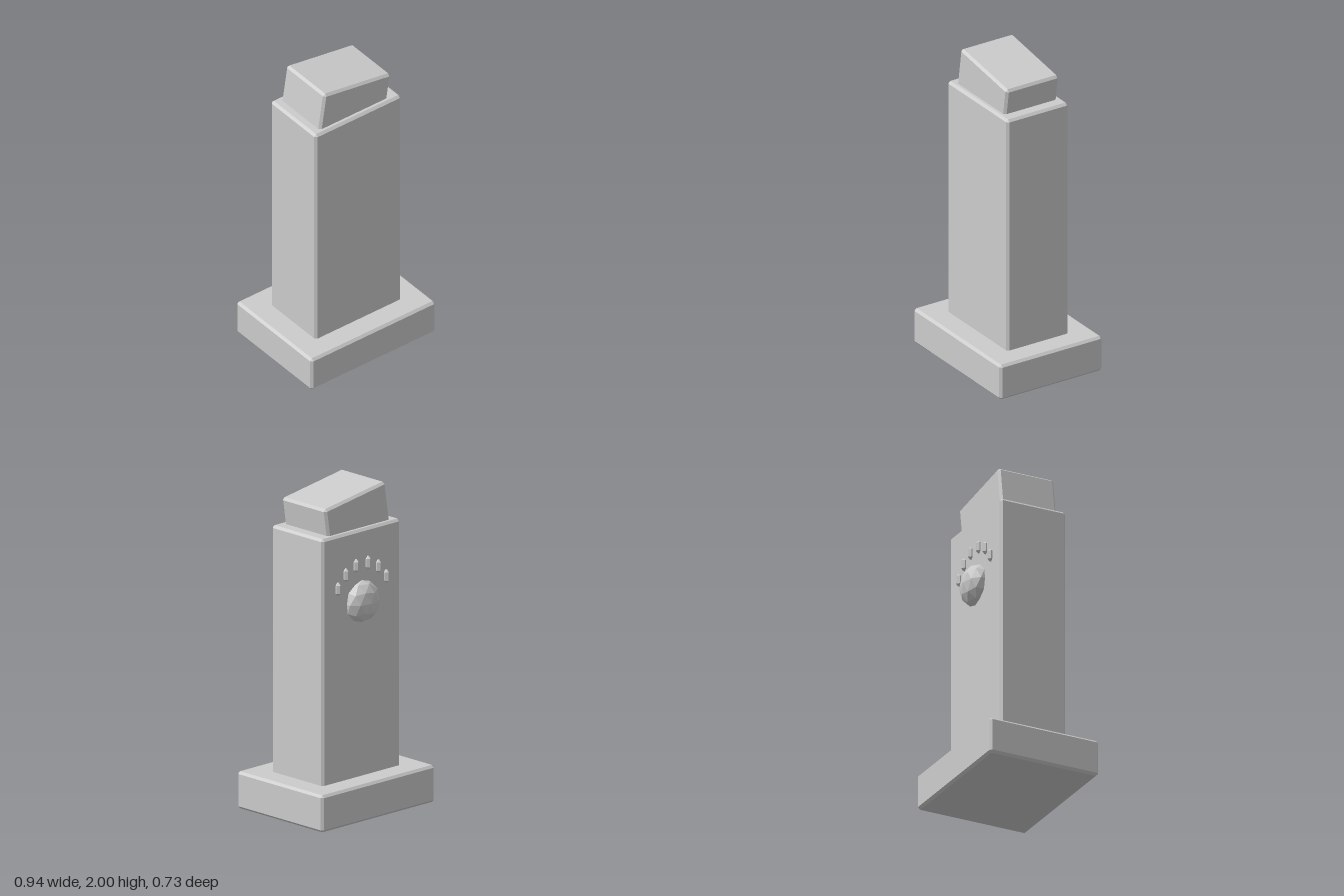
import * as THREE from 'three';
import { ConvexGeometry } from 'three/addons/geometries/ConvexGeometry.js';

const material = new THREE.MeshStandardMaterial({ color: 0xcccccc, flatShading: true });

// Box with every edge chamfered by c
function chamferBox(name, w, h, d, x, y, z, c = 0.015) {
  const points = [];
  for (const sx of [-1, 1]) for (const sy of [-1, 1]) for (const sz of [-1, 1]) {
    const [px, py, pz] = [sx * w / 2, sy * h / 2, sz * d / 2];
    points.push(
      new THREE.Vector3(px, py - sy * c, pz - sz * c),
      new THREE.Vector3(px - sx * c, py, pz - sz * c),
      new THREE.Vector3(px - sx * c, py - sy * c, pz),
    );
  }
  const mesh = new THREE.Mesh(new ConvexGeometry(points), material);
  mesh.name = name;
  mesh.position.set(x, y, z);
  return mesh;
}

export function createModel() {
  const model = new THREE.Group();
  model.name = 'monument';

  // Plinth and pillar
  model.add(chamferBox('base', 0.94, 0.23, 0.732, 0, 0.115, 0));
  model.add(chamferBox('pillar', 0.65, 1.56, 0.44, 0, 0.98, 0));

  // Tilted block sunk into the pillar top
  const cap = chamferBox('tiltedCap', 0.51, 0.27, 0.376, 0, 1.832, 0);
  cap.rotation.z = -0.15;
  model.add(cap);

  // Faceted dome on the back, one icosahedron corner pointing up
  const domeGeometry = new THREE.IcosahedronGeometry(1, 1);
  domeGeometry.rotateZ(Math.atan(2 / (1 + Math.sqrt(5))));
  domeGeometry.scale(0.13, 0.13, 0.085);
  const dome = new THREE.Mesh(domeGeometry, material);
  dome.name = 'backDome';
  dome.position.set(0, 1.315, -0.22);
  model.add(dome);

  // Arc of small studs above the dome, mirrored left and right
  const rays = new THREE.Group();
  rays.name = 'studArc';
  for (const [x, y] of [[0.05, 1.545], [0.135, 1.505], [0.2, 1.43]]) {
    for (const side of [-1, 1]) {
      rays.add(chamferBox('stud', 0.034, 0.082, 0.044, side * x, y, -0.221));
    }
  }
  model.add(rays);

  return model;
}
